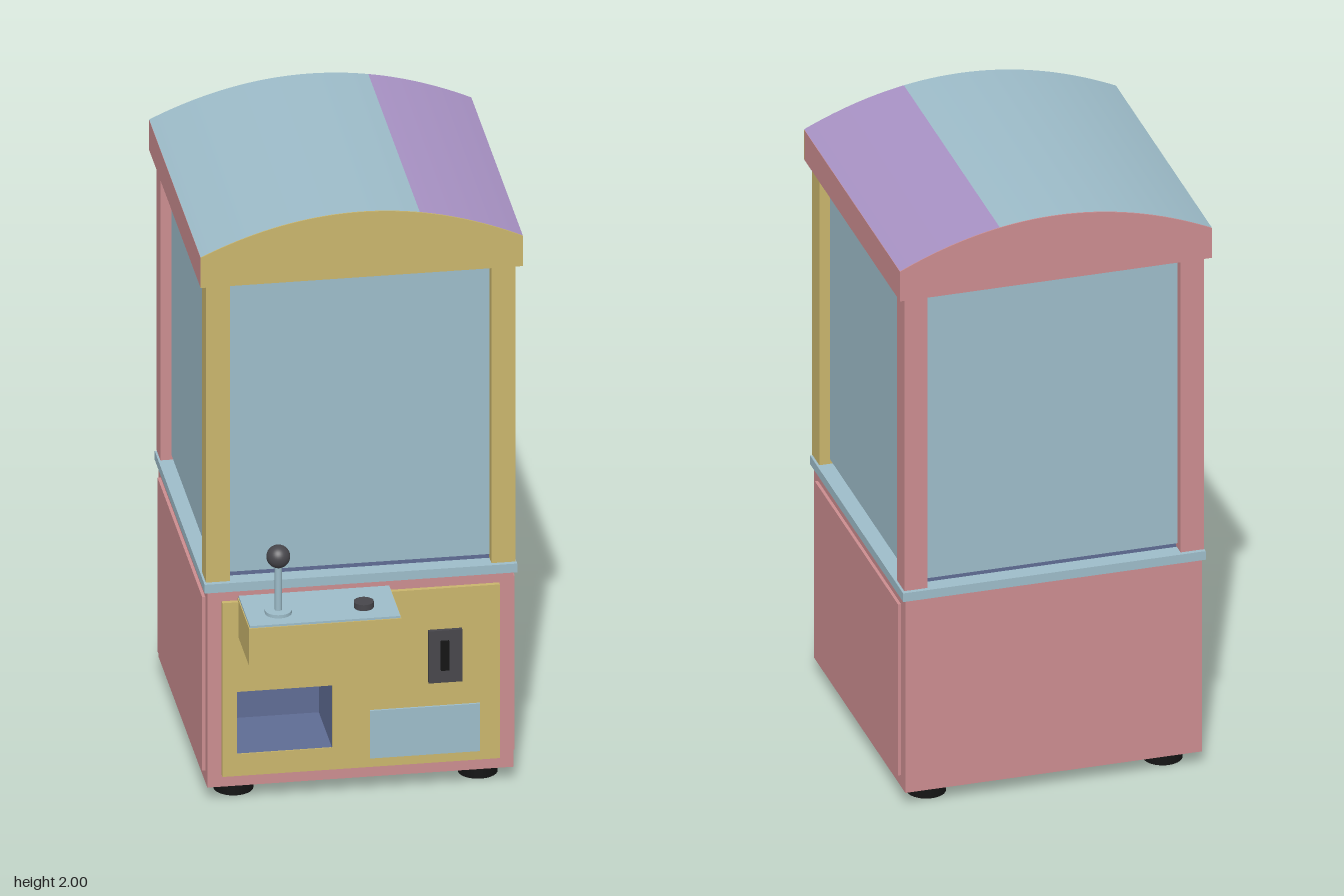
import * as THREE from 'three';

export function createModel() {
  const model = new THREE.Group();
  model.name = 'prizeMachine';

  const material = (name, color) => {
    const m = new THREE.MeshStandardMaterial({ color });
    m.name = name;
    return m;
  };
  const pink = material('pink', 0xcb8d90);
  const yellow = material('yellow', 0xc9b56c);
  const blue = material('paleBlue', 0x9dbcc9);
  const purple = material('purple', 0xa892c4);
  const navy = material('navy', 0x5f6c94);
  const grey = material('darkGrey', 0x47464b);
  const black = material('black', 0x141414);

  const add = (name, geometry, mat, x = 0, y = 0, z = 0) => {
    const mesh = new THREE.Mesh(geometry, mat);
    mesh.name = name;
    mesh.position.set(x, y, z);
    model.add(mesh);
    return mesh;
  };
  // Box given by its limits on each axis
  const box = (name, mat, x0, x1, y0, y1, z0, z1) =>
    add(name, new THREE.BoxGeometry(x1 - x0, y1 - y0, z1 - z0), mat,
      (x0 + x1) / 2, (y0 + y1) / 2, (z0 + z1) / 2);
  // Upright cylinder standing on y0
  const cylinder = (name, mat, r, x, y0, y1, z) =>
    add(name, new THREE.CylinderGeometry(r, r, y1 - y0, 32), mat, x, (y0 + y1) / 2, z);
  const extrude = (name, mat, shape, z0, z1) =>
    add(name, new THREE.ExtrudeGeometry(shape, { depth: z1 - z0, bevelEnabled: false }), mat, 0, 0, z0);

  // Prize opening, cut through the front of the cabinet
  const hole = { x0: -0.39, x1: -0.09, y0: 0.165, y1: 0.378 };
  const rectangle = (Type, x0, x1, y0, y1) =>
    new Type([[x0, y0], [x1, y0], [x1, y1], [x0, y1]].map(p => new THREE.Vector2(...p)));
  const panelWithHole = (x0, x1, y0, y1) => {
    const shape = rectangle(THREE.Shape, x0, x1, y0, y1);
    shape.holes.push(rectangle(THREE.Path, hole.x0, hole.x1, hole.y0, hole.y1));
    return shape;
  };

  // Lower cabinet
  box('cabinetRear', pink, -0.48, 0.48, 0.05, 0.72, -0.58, 0.13);
  extrude('cabinetFront', pink, panelWithHole(-0.48, 0.48, 0.05, 0.72), 0.13, 0.38);
  extrude('frontPanel', yellow, panelWithHole(-0.435, 0.435, 0.09, 0.685), 0.38, 0.395);
  for (const s of [-1, 1]) {
    add(s > 0 ? 'leftSidePanel' : 'rightSidePanel',
      new THREE.BoxGeometry(0.01, 0.595, 0.875), pink, s * 0.485, 0.3875, -0.0975);
  }

  // Lining of the prize opening: four walls and a back, facing inward
  const cx = (hole.x0 + hole.x1) / 2, cy = (hole.y0 + hole.y1) / 2;
  const w = hole.x1 - hole.x0, h = hole.y1 - hole.y0, depth = 0.255, e = 0.002;
  const lining = (name, width, height, x, y, z, rx, ry) =>
    add(name, new THREE.PlaneGeometry(width, height), navy, x, y, z).rotation.set(rx, ry, 0);
  const cz = 0.395 - depth / 2;
  lining('openingBack', w, h, cx, cy, 0.395 - depth, 0, 0);
  lining('openingRightWall', depth, h, hole.x0 + e, cy, cz, 0, Math.PI / 2);
  lining('openingLeftWall', depth, h, hole.x1 - e, cy, cz, 0, -Math.PI / 2);
  lining('openingFloor', w, depth, cx, hole.y0 + e, cz, -Math.PI / 2, 0);
  lining('openingCeiling', w, depth, cx, hole.y1 - e, cz, Math.PI / 2, 0);

  // Coin plate, slot and service flap
  box('coinPlate', grey, 0.21, 0.315, 0.368, 0.546, 0.395, 0.408);
  box('coinSlot', black, 0.247, 0.273, 0.412, 0.512, 0.408, 0.416);
  box('serviceFlap', blue, 0.027, 0.372, 0.122, 0.285, 0.395, 0.402);

  // Feet
  for (const x of [-0.383, 0.383]) {
    for (const z of [-0.483, 0.283]) cylinder('foot', black, 0.062, x, 0, 0.05, z);
  }

  // Control shelf with joystick and button
  box('controlShelf', yellow, -0.385, 0.093, 0.565, 0.693, 0.38, 0.607);
  box('controlTop', blue, -0.382, 0.09, 0.693, 0.7, 0.38, 0.603);
  cylinder('joystickBase', blue, 0.042, -0.28, 0.7, 0.711, 0.52);
  cylinder('joystickStem', blue, 0.011, -0.28, 0.71, 0.88, 0.52);
  add('joystickBall', new THREE.SphereGeometry(0.037, 32, 20), grey, -0.28, 0.893, 0.52);
  cylinder('button', grey, 0.031, -0.012, 0.7, 0.72, 0.52);

  // Ledge, display floor and glass case
  box('ledge', blue, -0.49, 0.49, 0.72, 0.75, -0.59, 0.39);
  box('displayFloor', navy, -0.435, 0.435, 0.75, 0.77, -0.535, 0.335);
  box('glassCase', blue, -0.45, 0.45, 0.77, 1.776, -0.55, 0.35);
  for (const s of [-1, 1]) {
    const x0 = s > 0 ? 0.41 : -0.485;
    box('frontPost', yellow, x0, x0 + 0.075, 0.755, 1.776, 0.31, 0.385);
    box('backPost', pink, x0, x0 + 0.075, 0.755, 1.776, -0.585, -0.51);
  }

  // Arched roof
  const half = 0.505, zBack = -0.605, zFront = 0.405;
  const roofY = x => 2 - 0.12 * (x / half) ** 2;
  const arch = new THREE.Shape();
  arch.moveTo(-half, 1.775);
  arch.lineTo(half, 1.775);
  for (let i = 0; i <= 32; i++) {
    const x = half - (2 * half * i) / 32;
    arch.lineTo(x, roofY(x) - 0.002);
  }
  extrude('roof', pink, arch, zBack, 0.4);
  extrude('roofFront', yellow, arch, 0.4, zFront);

  // Curved skins over the roof
  const skin = (name, mat, x0, x1) => {
    const g = new THREE.PlaneGeometry(x1 - x0, zFront - zBack, 32, 1);
    g.rotateX(-Math.PI / 2);
    g.translate((x0 + x1) / 2, 0, (zFront + zBack) / 2);
    const p = g.attributes.position;
    for (let i = 0; i < p.count; i++) p.setY(i, roofY(p.getX(i)));
    g.computeVertexNormals();
    add(name, g, mat);
  };
  skin('roofSkinWide', blue, -half, 0.182);
  skin('roofSkinNarrow', purple, 0.182, half);

  return model;
}
